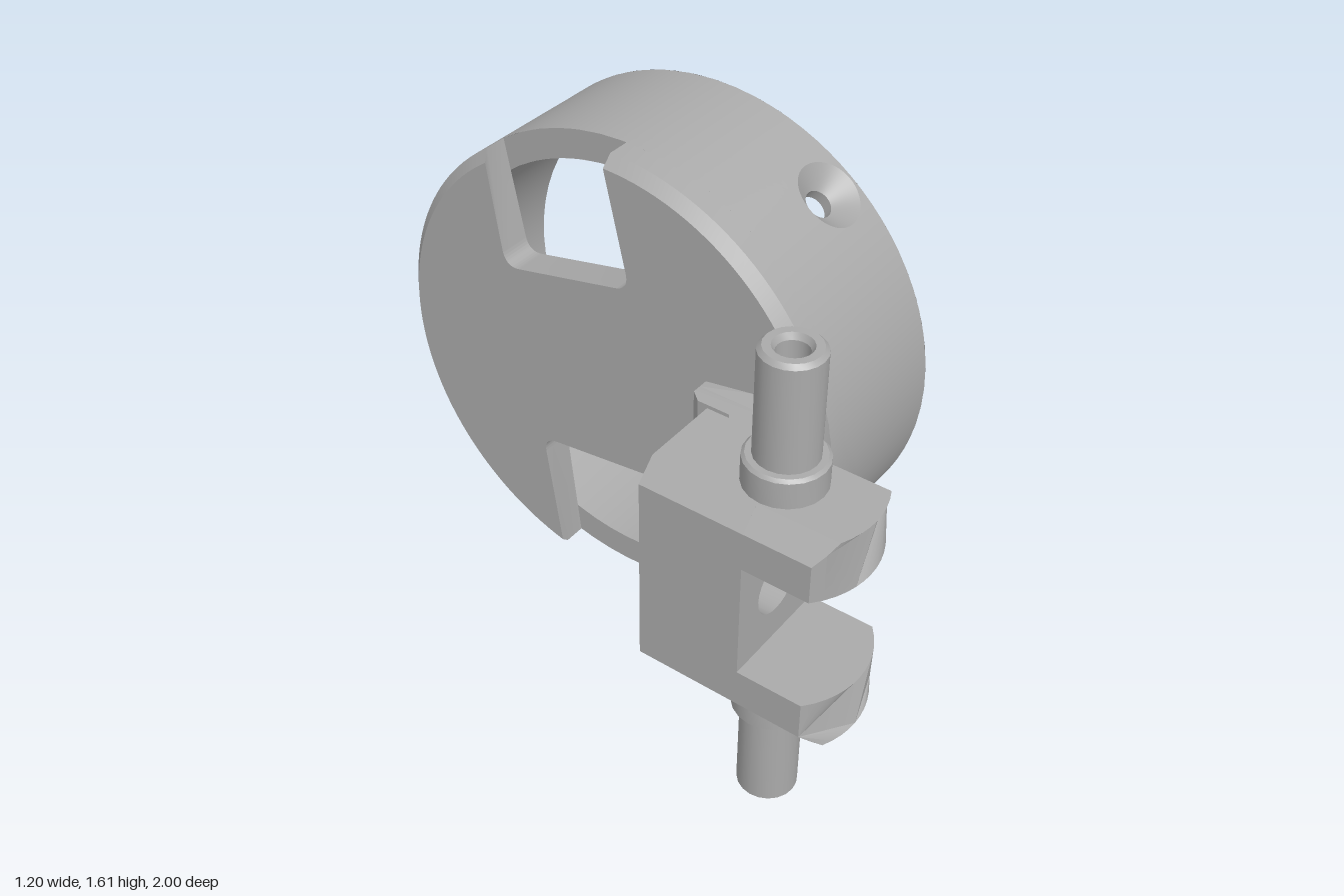
import * as THREE from 'three';
import { toCreasedNormals } from 'three/addons/utils/BufferGeometryUtils.js';
import { ParametricGeometry } from 'three/addons/geometries/ParametricGeometry.js';

const R = 0.805, RI = 0.71, PLATE = 0.11; // cup radii and base thickness
const CY = 0.81, CZ = -0.195;             // cup axis (runs along x)
const PX = -0.42, PZ = 0.73, MID = 0.8125; // pivot axis and clevis mid height

export function createModel() {
  const grey = new THREE.MeshStandardMaterial({ color: 0xaaaaaa, side: THREE.DoubleSide });
  grey.name = 'grey';
  const model = new THREE.Group();
  const add = (parent, name, geometry) => {
    const mesh = new THREE.Mesh(geometry, grey);
    mesh.name = name;
    parent.add(mesh);
    return mesh;
  };
  const crease = (g) => toCreasedNormals(g, 0.5);

  // ---- Cup
  const cup = new THREE.Group();
  cup.name = 'cup';
  cup.position.set(0, CY, CZ);
  model.add(cup);

  // Base plate with two rounded slots open at the edge
  const slots = [
    { angle: 78, min: -0.184, max: 0.305, inner: 0.362 },
    { angle: 263.3, min: -0.29, max: 0.247, inner: 0.296 },
  ].map((s) => ({ ...s, angle: THREE.MathUtils.degToRad(s.angle) }));
  const outline = new THREE.Shape();
  slots.forEach((s, i) => {
    const prev = slots[1 - i], k = 0.055;
    const from = prev.angle - Math.asin(prev.min / R);
    let to = s.angle - Math.asin(s.max / R);
    if (to < from) to += Math.PI * 2;
    outline.absarc(0, 0, R, from, to, false);
    const c = Math.cos(s.angle), n = Math.sin(s.angle);
    const pt = (side, out) => [n * side + c * out, -c * side + n * out];
    outline.lineTo(...pt(s.max, s.inner + k));
    outline.quadraticCurveTo(...pt(s.max, s.inner), ...pt(s.max - k, s.inner));
    outline.lineTo(...pt(s.min + k, s.inner));
    outline.quadraticCurveTo(...pt(s.min, s.inner), ...pt(s.min, s.inner + k));
  });
  const plate = new THREE.ExtrudeGeometry(outline, {
    depth: PLATE, steps: 2, bevelEnabled: false, curveSegments: 28,
  });
  // Chamfer the outer edge: pull the first layer in, move the middle layer
  const pp = plate.attributes.position;
  for (let i = 0; i < pp.count; i++) {
    const z = pp.getZ(i), r = Math.hypot(pp.getX(i), pp.getY(i));
    if (z < 0.001 && r > 0.77) pp.setXY(i, pp.getX(i) * 0.77 / r, pp.getY(i) * 0.77 / r);
    else if (Math.abs(z - PLATE / 2) < 0.001) pp.setZ(i, 0.035);
  }
  plate.rotateY(Math.PI / 2);
  add(cup, 'basePlate', crease(plate));

  // Wall end visible through the slots
  const end = new THREE.RingGeometry(RI, R, 64);
  end.rotateY(-Math.PI / 2).translate(PLATE, 0, 0);
  add(cup, 'wallEnd', end);

  // Rim with outer and inner chamfers
  const rim = new THREE.LatheGeometry(
    [[R, 0.58], [0.785, 0.6], [0.74, 0.6], [RI, 0.57]].map((p) => new THREE.Vector2(...p)), 64);
  rim.rotateZ(-Math.PI / 2);
  add(cup, 'rim', crease(rim));

  // Wall quarters, each with a countersunk screw hole
  const HX = 0.46;
  const hole = (radius, h, a0) => (t) =>
    [HX + h * Math.cos(t), a0 + (h / radius) * Math.sin(t), radius];
  const quarter = (radius, top, a0) => (t) => {
    const c = Math.cos(t), s = Math.sin(t), m = Math.max(Math.abs(c), Math.abs(s));
    return [(PLATE + top) / 2 + (top - PLATE) / 2 * c / m, a0 + Math.PI / 4 * s / m, radius];
  };
  const loft = (from, to, stacks) => new ParametricGeometry((u, v, target) => {
    const a = from(u * Math.PI * 2), b = to(u * Math.PI * 2);
    const [x, ang, r] = a.map((q, i) => q + (b[i] - q) * v);
    target.set(x, r * Math.sin(ang), r * Math.cos(ang));
  }, 80, stacks);
  for (let i = 0; i < 4; i++) {
    const a = THREE.MathUtils.degToRad(52.4 + 90 * i);
    const wide = hole(R, 0.11, a), neck = hole(0.745, 0.045, a), bore = hole(RI, 0.045, a);
    add(cup, 'outerWall', loft(wide, quarter(R, 0.58, a), 10));
    add(cup, 'countersink', loft(neck, wide, 2));
    add(cup, 'screwHole', loft(bore, neck, 1));
    add(cup, 'innerWall', loft(quarter(RI, 0.57, a), bore, 10));
  }

  // ---- Arm: cross-sections along x, its front face is a cone about the cup axis
  // [x, back z, back half height, front half height, front radius]
  const sections = [
    [-0.24, 0.4, 0.222, 0.222, 0.897],
    [-0.2, 0.4, 0.185, 0.185, 0.883],
    [-0.09, 0.335, 0.185, 0.185, 0.847],
    [-0.09, 0.225, 0.185, 0.185, 0.847],
    [-0.06, 0.19, 0.185, 0.185, 0.837],
    [-0.03, 0.19, 0.185, 0.185, 0.827],
    [0.04, 0.19, 0.185, 0.25, 0.804],
  ];
  const N = 10, verts = [], faces = [];
  sections.forEach(([x, back, hb, hf, r], k) => {
    verts.push(x, MID - hb, back);
    for (let j = 0; j <= N - 2; j++) {
      const dy = hf * (2 * j / (N - 2) - 1);
      verts.push(x, MID + dy, CZ + Math.sqrt(r * r - dy * dy));
    }
    verts.push(x, MID + hb, back);
    const M = N + 1;
    if (k > 0) for (let j = 0; j < M; j++) {
      const a = (k - 1) * M + j, b = (k - 1) * M + (j + 1) % M;
      faces.push(a, b, a + M, b, b + M, a + M);
    }
  });
  const arm = new THREE.BufferGeometry();
  arm.setAttribute('position', new THREE.Float32BufferAttribute(verts, 3));
  arm.setIndex(faces);
  add(model, 'arm', crease(arm));

  // ---- Clevis
  const clevis = new THREE.Group();
  clevis.name = 'clevis';
  model.add(clevis);
  const W = 0.1825, H = 0.3675, C = 0.06, GAP = 0.1875, FLOOR = 0.726;

  // Body with a cross hole
  const body = new THREE.Shape([
    [-W, -H + C], [-W + C, -H], [W - C, -H], [W, -H + C],
    [W, H - C], [W - C, H], [-W + C, H], [-W, H - C],
  ].map((p) => new THREE.Vector2(...p)));
  body.holes.push(new THREE.Path().absarc(0, 0, 0.092, 0, Math.PI * 2, true));
  const bodyGeo = new THREE.ExtrudeGeometry(body, { depth: FLOOR - 0.4, bevelEnabled: false });
  bodyGeo.translate(PX, MID, 0.4);
  add(clevis, 'clevisBody', crease(bodyGeo));

  // Prongs with rounded noses, and the hollow-ended pivot pins
  const edge = [];
  for (let i = 0; i <= 12; i++) edge.push(-W + 2 * W * i / 12);
  const prongPts = [
    ...edge.map((x) => new THREE.Vector2(x, GAP)),
    ...edge.slice().reverse().map((x) =>
      new THREE.Vector2(x, H - Math.max(0, Math.abs(x) - (W - C)))),
  ];
  const pin = [[0.117, H - 0.01], [0.117, 0.448], [0.108, 0.457], [0.09, 0.457], [0.09, 0.775],
    [0.078, 0.7875], [0.055, 0.7875], [0.045, 0.77], [0.045, 0.66], [0, 0.63]];
  for (const side of [1, -1]) {
    const prong = new THREE.ExtrudeGeometry(
      new THREE.Shape(prongPts.map((p) => new THREE.Vector2(p.x, p.y * side))),
      { depth: 1, bevelEnabled: false });
    const p = prong.attributes.position, nose = 0.27;
    for (let i = 0; i < p.count; i++) {
      const x = p.getX(i);
      p.setZ(i, p.getZ(i) < 0.5 ? FLOOR : 1 - nose + Math.sqrt(nose * nose - x * x));
    }
    prong.translate(PX, MID, 0);
    add(clevis, side > 0 ? 'upperProng' : 'lowerProng', crease(prong));

    const pinGeo = new THREE.LatheGeometry(pin.map((q) => new THREE.Vector2(...q)), 20);
    if (side < 0) pinGeo.rotateX(Math.PI);
    pinGeo.translate(PX, MID, PZ);
    add(clevis, side > 0 ? 'upperPin' : 'lowerPin', crease(pinGeo));
  }
  return model;
}
